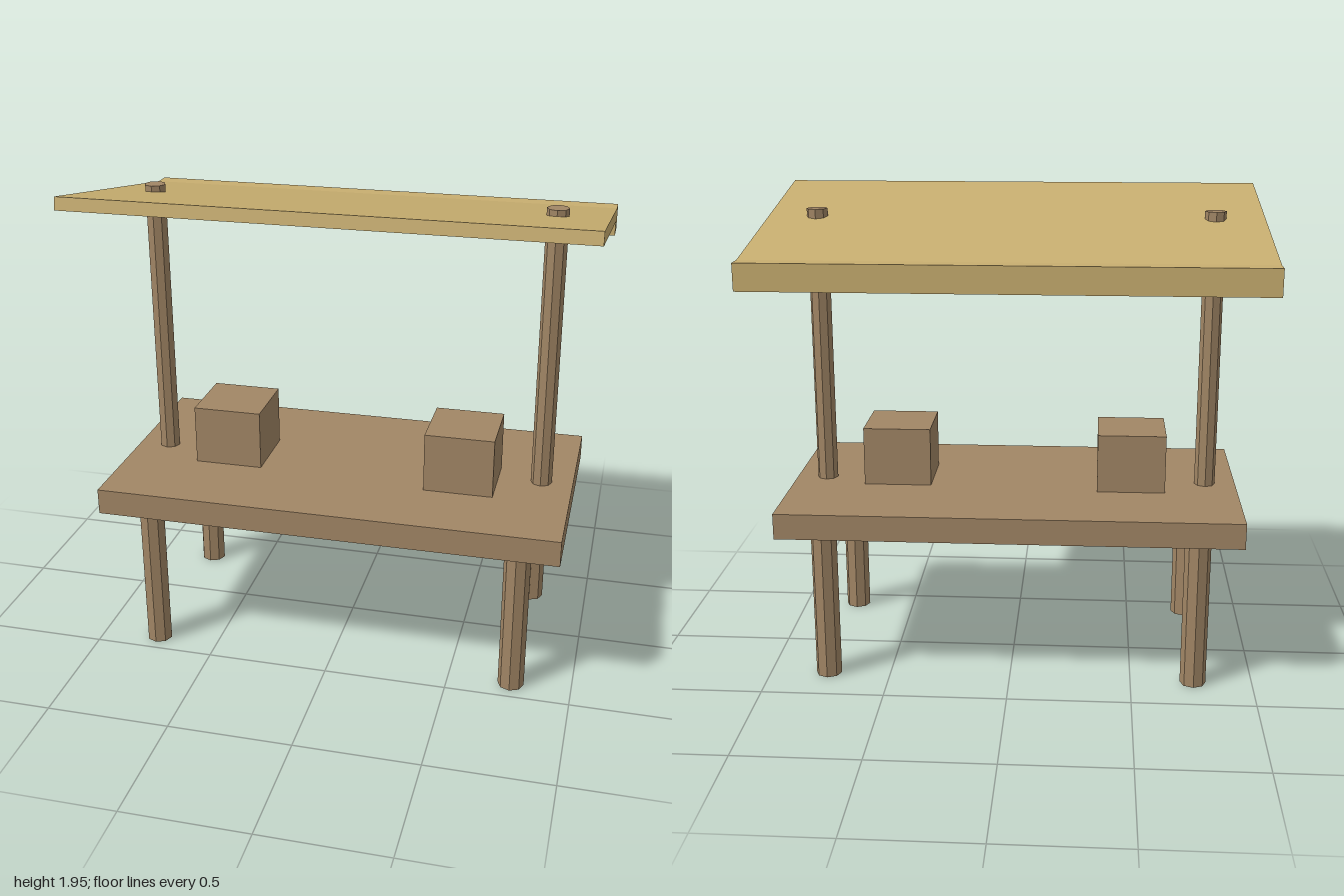
import * as THREE from 'three';

const wood = new THREE.MeshStandardMaterial({ name: 'brown wood', color: 0xa18665, flatShading: true });
const straw = new THREE.MeshStandardMaterial({ name: 'straw roof', color: 0xc8ae70, flatShading: true });

// Box given by its lower and upper limits
function box(name, [x0, y0, z0], [x1, y1, z1]) {
  const mesh = new THREE.Mesh(new THREE.BoxGeometry(x1 - x0, y1 - y0, z1 - z0), wood);
  mesh.position.set((x0 + x1) / 2, (y0 + y1) / 2, (z0 + z1) / 2);
  mesh.name = name;
  return mesh;
}

// Upright eight-sided pole
function pole(name, radius, x, z, y0, y1) {
  const mesh = new THREE.Mesh(new THREE.CylinderGeometry(radius, radius, y1 - y0, 8), wood);
  mesh.position.set(x, (y0 + y1) / 2, z);
  mesh.name = name;
  return mesh;
}

export function createModel() {
  const stall = new THREE.Group();
  stall.name = 'marketStall';

  // Counter and the two crates on it
  stall.add(box('counter', [-0.93, 0.642, -0.44], [0.93, 0.747, 0.54]));
  stall.add(box('rightCrate', [-0.63, 0.74, -0.09], [-0.35, 0.99, 0.19]));
  stall.add(box('leftCrate', [0.347, 0.74, -0.047], [0.627, 0.99, 0.235]));

  // Legs and roof posts
  for (const side of [-1, 1]) {
    const label = side > 0 ? 'left' : 'right';
    stall.add(pole(label + 'FrontLeg', 0.053, side * 0.757, 0.407, 0, 0.65));
    stall.add(pole(label + 'BackLeg', 0.053, side * 0.757, -0.305, 0, 0.65));
    stall.add(pole(label + 'RoofPost', 0.043, side * 0.802, 0.048, 0.74, 1.89));
  }

  // Sloping roof with a square lip along the back, as a side profile (-z, y)
  const profile = new THREE.Shape([
    [-0.547, 1.95], [-0.556, 1.9], [0.45, 1.716], [0.45, 1.657],
    [0.556, 1.657], [0.556, 1.763], [0.485, 1.763],
  ].map(([u, y]) => new THREE.Vector2(u, y)));
  const roofGeometry = new THREE.ExtrudeGeometry(profile, { depth: 2, bevelEnabled: false });
  roofGeometry.rotateY(Math.PI / 2).translate(-1, 0, 0);
  const roof = new THREE.Mesh(roofGeometry, straw);
  roof.name = 'roof';
  stall.add(roof);

  return stall;
}
